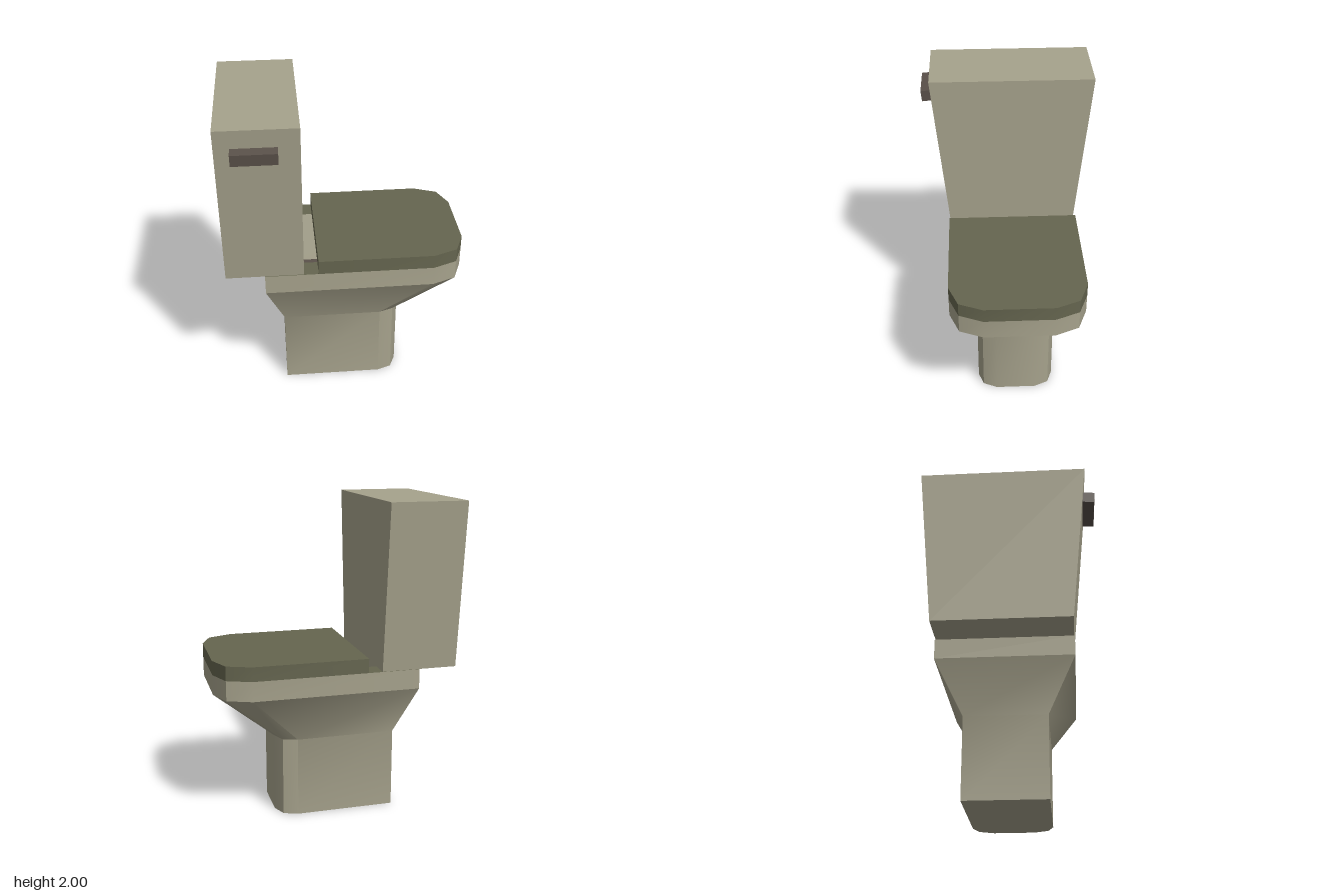
import * as THREE from 'three';
import { toCreasedNormals } from 'three/addons/utils/BufferGeometryUtils.js';

const mat = (name, color) => new THREE.MeshStandardMaterial({ name, color });

// Mirror half an outline of [x, z] points into a closed loop, counterclockwise from above
const mirror = (half) => [...half, ...half.slice().reverse().map(([x, z]) => [x, -z])];

// Skin a chain of [y, outline] sections, optionally closing its first and last loops
function loft(sections, { first = false, last = false } = {}) {
  const pos = [];
  const rings = sections.map(([y, pts]) => pts.map(([x, z]) => [x, y, z]));
  const tri = (...corners) => corners.forEach((c) => pos.push(...c));
  const n = rings[0].length;
  for (let s = 0; s < rings.length - 1; s++) {
    const a = rings[s], b = rings[s + 1];
    for (let i = 0; i < n; i++) {
      const j = (i + 1) % n;
      tri(a[i], a[j], b[j]);
      tri(a[i], b[j], b[i]);
    }
  }
  const end = rings[rings.length - 1];
  for (let i = 1; i < n - 1; i++) {
    if (first) tri(rings[0][0], rings[0][i + 1], rings[0][i]);
    if (last) tri(end[0], end[i], end[i + 1]);
  }
  const g = new THREE.BufferGeometry();
  g.setAttribute('position', new THREE.Float32BufferAttribute(pos, 3));
  return toCreasedNormals(g, THREE.MathUtils.degToRad(32));
}

export function createModel() {
  const ceramic = mat('ceramic', 0xa6a28c);
  const olive = mat('olive seat', 0x65654f);
  const brown = mat('dark brown', 0x5a514a);

  const model = new THREE.Group();
  const body = new THREE.Group();
  body.name = 'toilet';
  body.position.z = -0.03;
  model.add(body);
  const add = (name, geometry, material) => {
    const mesh = new THREE.Mesh(geometry, material);
    mesh.name = name;
    body.add(mesh);
    return mesh;
  };

  // Outlines seen from above: square at the back, chamfered at the front
  const front = [[0.54, 0.42], [0.69, 0.36], [0.75, 0.215]];
  const rim = mirror([[-0.51, 0.42], ...front]);
  const lid = mirror([[-0.18, 0.42], ...front]);
  const foot = mirror([[-0.4, 0.253], [0.23, 0.253], [0.32, 0.22], [0.36, 0.13]]);
  const opening = mirror([[-0.32, 0.29], [0.42, 0.29], [0.52, 0.25], [0.56, 0.15]]);
  const basin = mirror([[-0.32, 0.2], [0.27, 0.2], [0.34, 0.17], [0.37, 0.1]]);

  // Pedestal, flared bowl and rim
  add('pedestal', loft([[0, foot], [0.51, foot], [0.84, rim]], { first: true }), ceramic);
  add('rim', loft([[0.84, rim], [0.965, rim]]), ceramic);
  add('seatRing', loft([[0.965, rim], [0.965, opening]]), olive);
  add('bowlInside', loft([[0.965, opening], [0.65, basin]]), ceramic);
  add('bowlFloor', loft([[0.65, basin], [0.649, basin]], { last: true }), brown);

  // Closed lid
  add('lid', loft([[0.965, lid], [1.055, lid]], { first: true, last: true }), olive);

  // Cistern, wider at the top
  const box = (w) => mirror([[-0.75, w], [-0.27, w]]);
  add('cistern', loft([[0.965, box(0.415)], [2, box(0.51)]], { first: true, last: true }), ceramic);

  // Flush handle, square to the sloping cistern wall
  const handle = add('flushHandle', new THREE.BoxGeometry(0.265, 0.07, 0.08), brown);
  handle.position.set(-0.528, 1.85, 0.527);
  handle.rotation.x = Math.atan(0.095 / 1.035);

  return model;
}
